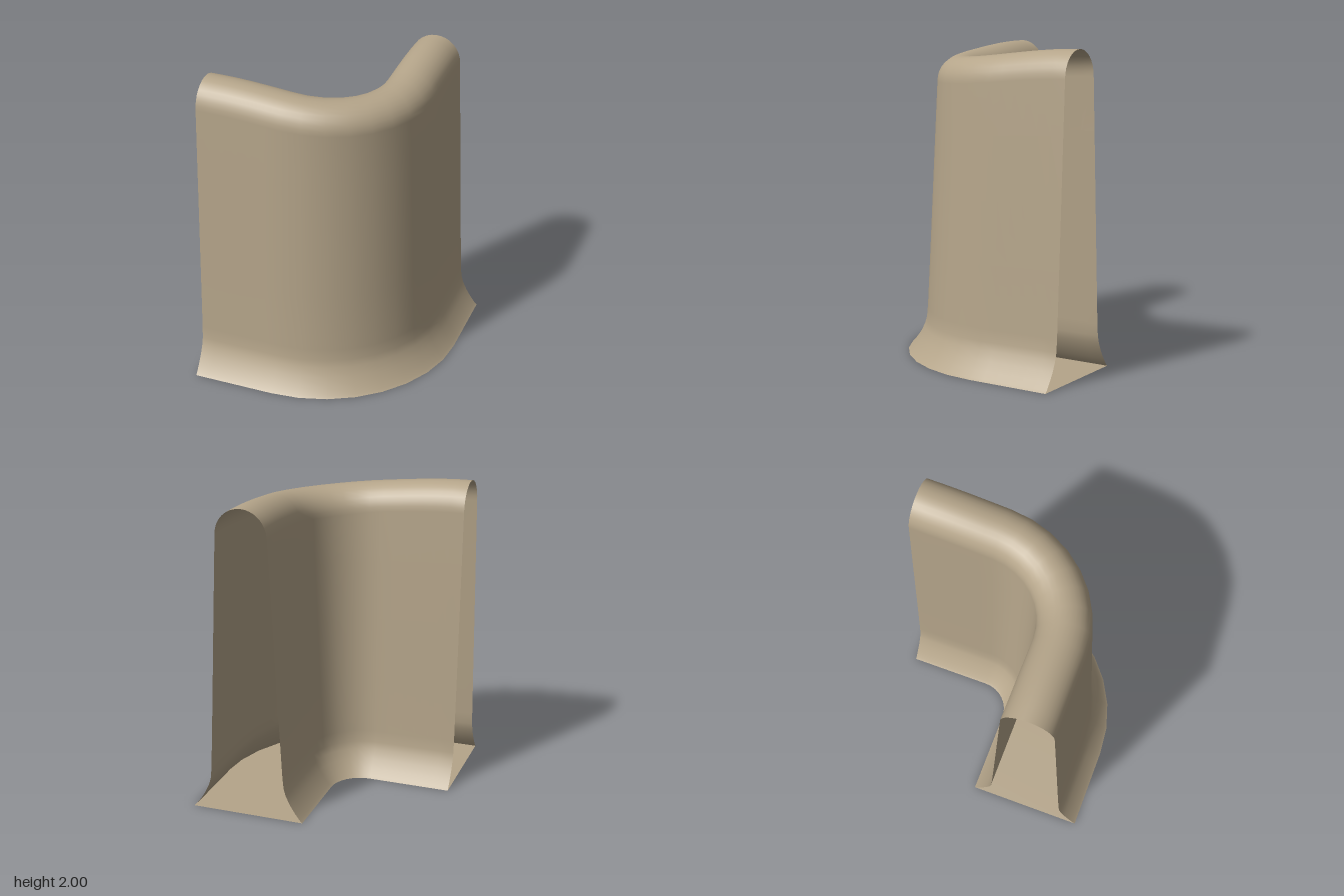
import * as THREE from 'three';

const MID = 0.37;      // centreline offset of the wall section
const BEND = 0.2;      // bend centre sits at (-BEND, -BEND)
const END = 0.74;      // how far each arm reaches
const ARM_STEPS = 6, BEND_STEPS = 8;

// Right half of the cross-section as [offset from centreline, height], foot to crown
function halfSection() {
  const pts = [[0.37, 0], [0.355, 0.015], [0.325, 0.055], [0.29, 0.11], [0.262, 0.17], [0.248, 0.22], [0.241, 0.3],
    [0.221, 0.7], [0.202, 1.1], [0.183, 1.5], [0.167, 1.83]];
  for (let i = 1; i <= 8; i++) {
    const a = (i / 8) * Math.PI / 2;
    pts.push([0.167 * Math.cos(a), 1.83 + 0.17 * Math.sin(a)]);
  }
  return pts;
}

// Stations along the L: a point on the bend axis line, outward direction, distance along the centreline
function stations() {
  const list = [], run = END - BEND, r = MID + BEND, arc = r * Math.PI / 2;
  for (let i = 0; i < ARM_STEPS; i++) {
    const s = run * i / ARM_STEPS;
    list.push({ x: -END + s, z: -BEND, dx: 0, dz: 1, s });
  }
  for (let i = 0; i <= BEND_STEPS; i++) {
    const t = i / BEND_STEPS, a = t * Math.PI / 2;
    list.push({ x: -BEND, z: -BEND, dx: Math.sin(a), dz: Math.cos(a), s: run + arc * t });
  }
  for (let i = 1; i <= ARM_STEPS; i++) {
    const d = run * i / ARM_STEPS;
    list.push({ x: -BEND, z: -BEND - d, dx: 1, dz: 0, s: run + arc + d });
  }
  return list;
}

// Sweep a section along the stations; the height sags gently towards the corner
function sweep(section) {
  const path = stations(), total = path[path.length - 1].s;
  const pos = [], index = [], n = section.length;
  path.forEach((p, j) => {
    const h = (1.965 + 0.035 * Math.cos(2 * Math.PI * p.s / total)) / 2;
    section.forEach(([o, y], i) => {
      const r = BEND + MID + o;
      pos.push(p.x + p.dx * r, y * h, p.z + p.dz * r);
      if (j && i) {
        const d = j * n + i, c = d - 1, b = d - n, a = b - 1;
        index.push(a, c, b, b, c, d);
      }
    });
  });
  const geo = new THREE.BufferGeometry();
  geo.setAttribute('position', new THREE.Float32BufferAttribute(pos, 3));
  geo.setIndex(index);
  geo.computeVertexNormals();
  return geo;
}

export function createModel() {
  const group = new THREE.Group();
  group.name = 'cornerWall';
  const material = new THREE.MeshStandardMaterial({ color: 0xb5a58a, side: THREE.DoubleSide });
  const add = (name, section) => {
    const mesh = new THREE.Mesh(sweep(section), material);
    mesh.name = name;
    group.add(mesh);
  };

  // Hollow wall shell: outer foot, over the rounded crown, down to the inner foot
  const half = halfSection();
  const mirrored = half.slice(0, -1).reverse().map(([o, y]) => [-o, y]);
  add('wallShell', [...half, ...mirrored]);

  // Flat underside joining the two feet; both arm ends stay open
  add('underside', [[-0.37, 0], [0.37, 0]]);
  return group;
}
